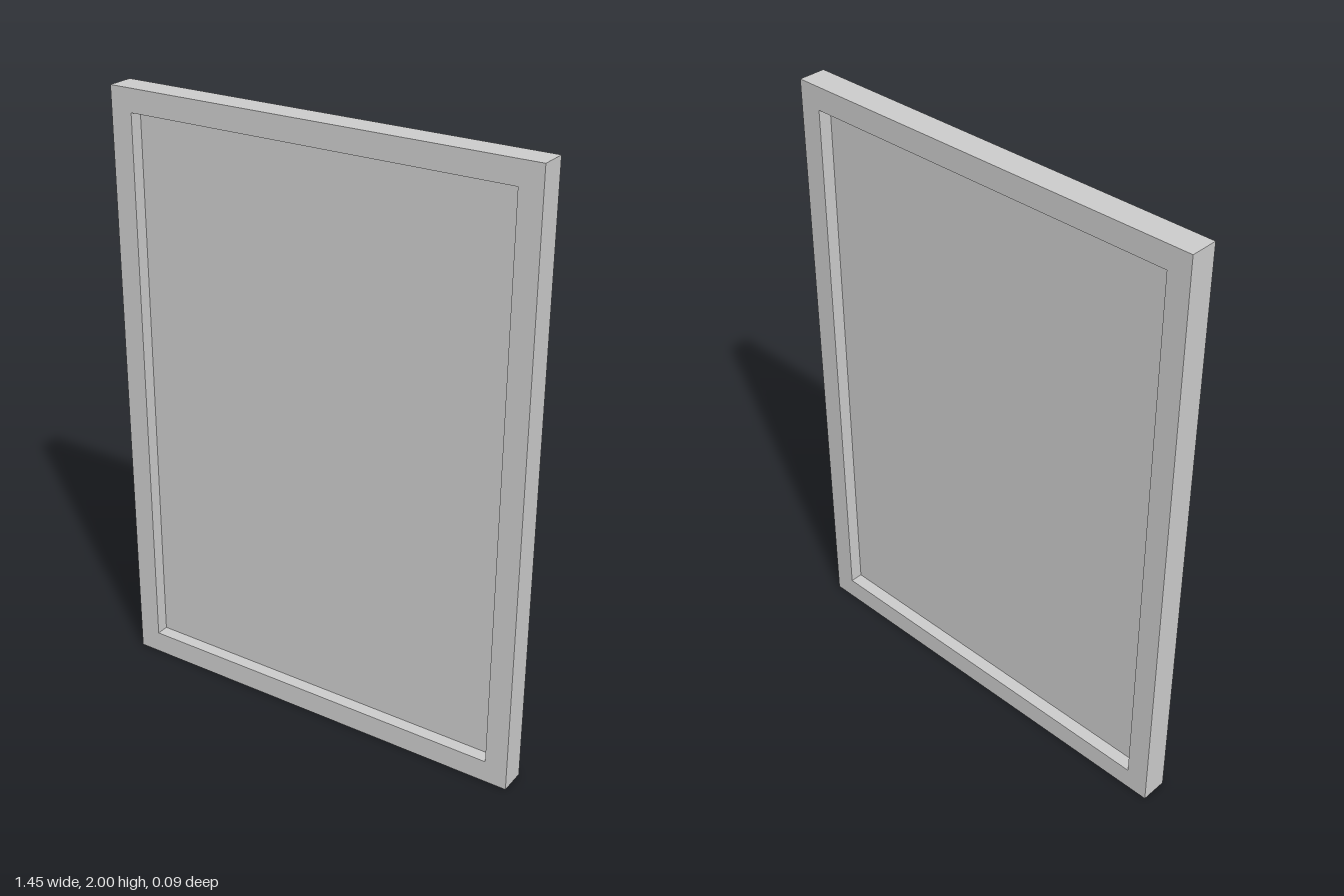
import * as THREE from 'three';

const WIDTH = 1.446, HEIGHT = 2, DEPTH = 0.09, BORDER = 0.075, PANE = 0.004;

// Corners of a rectangle centred on x = 0, inset evenly from the outer edge
function rectangle(inset) {
  const x = WIDTH / 2 - inset, bottom = inset, top = HEIGHT - inset;
  return [[-x, bottom], [x, bottom], [x, top], [-x, top]].map(([px, py]) => new THREE.Vector2(px, py));
}

export function createModel() {
  const group = new THREE.Group();
  group.name = 'framedPanel';
  const material = new THREE.MeshStandardMaterial({ color: 0xcccccc });

  // Square-edged frame with a rectangular opening
  const outline = new THREE.Shape(rectangle(0));
  outline.holes.push(new THREE.Path(rectangle(BORDER)));
  const frameGeometry = new THREE.ExtrudeGeometry(outline, { depth: DEPTH, bevelEnabled: false });
  frameGeometry.translate(0, 0, -DEPTH / 2);
  const frame = new THREE.Mesh(frameGeometry, material);
  frame.name = 'frame';

  // Thin pane halfway through the depth, recessed on both sides
  const pane = new THREE.Mesh(
    new THREE.BoxGeometry(WIDTH - 2 * BORDER, HEIGHT - 2 * BORDER, PANE), material);
  pane.name = 'pane';
  pane.position.y = HEIGHT / 2;

  group.add(frame, pane);
  return group;
}
